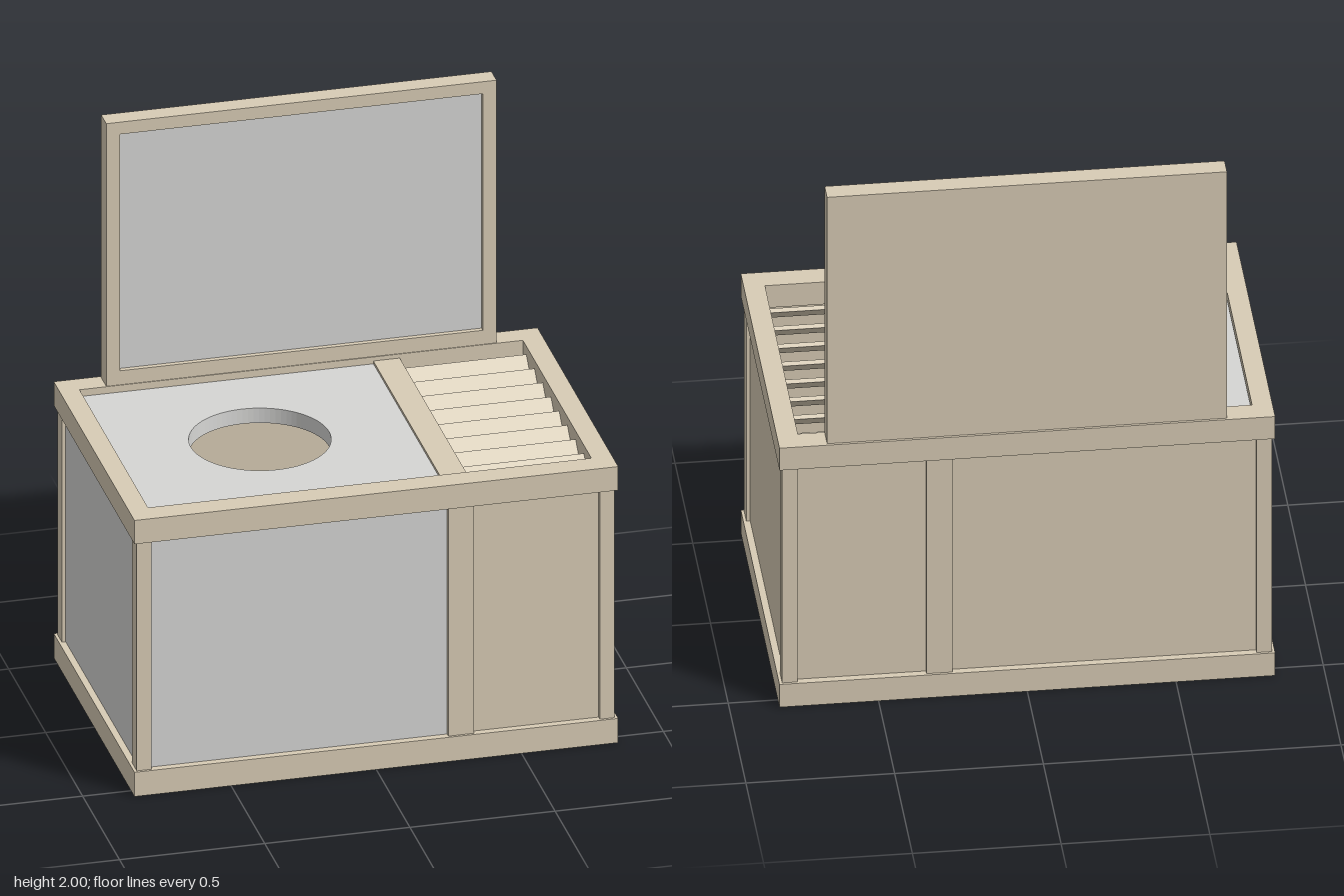
import * as THREE from 'three';

const wood = new THREE.MeshStandardMaterial({ color: 0xd8ccb5 });
wood.name = 'pale wood';
const grey = new THREE.MeshStandardMaterial({ color: 0xd6d6d4 });
grey.name = 'light grey panel';

// Box given by its minimum and maximum on each axis
function box(name, [x0, x1], [y0, y1], [z0, z1], material = wood) {
  const mesh = new THREE.Mesh(new THREE.BoxGeometry(x1 - x0, y1 - y0, z1 - z0), material);
  mesh.position.set((x0 + x1) / 2, (y0 + y1) / 2, (z0 + z1) / 2);
  mesh.name = name;
  return mesh;
}

function rectangle(PathType, x0, x1, y0, y1) {
  return new PathType([[x0, y0], [x1, y0], [x1, y1], [x0, y1]].map(p => new THREE.Vector2(...p)));
}

// Horizontal slab with a hole, resting at height y
function slab(name, shape, hole, y, height, material) {
  shape.holes.push(hole);
  const geometry = new THREE.ExtrudeGeometry(shape, { depth: height, bevelEnabled: false, curveSegments: 40 });
  geometry.rotateX(-Math.PI / 2);
  const mesh = new THREE.Mesh(geometry, material);
  mesh.position.y = y;
  mesh.name = name;
  return mesh;
}

export function createModel() {
  const model = new THREE.Group();
  model.name = 'cabinet';
  const low = 0.09, high = 0.937, sides = [low, high];

  // Base and top frames
  for (const [name, y, h] of [['baseFrame', 0, low], ['topFrame', high, 0.088]]) {
    model.add(slab(name, rectangle(THREE.Shape, -0.833, 0.833, -0.546, 0.546),
      rectangle(THREE.Path, -0.765, 0.762, -0.462, 0.465), y, h, wood));
  }
  model.add(box('floor', [-0.765, 0.762], [0.03, 0.07], [-0.465, 0.462]));

  // Corner posts and the posts between the two compartments
  for (const s of [-1, 1]) {
    const z = s > 0 ? [0.475, 0.537] : [-0.537, -0.475];
    model.add(box('cornerPost', [-0.823, -0.772], sides, z));
    model.add(box('cornerPost', [0.772, 0.823], sides, z));
    model.add(box('middlePost', [0.25, 0.338], sides, z));
  }

  // Wall panels, set back between the posts
  const front = [0.485, 0.52], back = [-0.52, -0.485];
  model.add(box('frontWindow', [-0.772, 0.25], sides, front, grey));
  model.add(box('frontPanel', [0.338, 0.772], sides, front));
  model.add(box('backPanelWide', [-0.772, 0.25], sides, back));
  model.add(box('backPanelNarrow', [0.338, 0.772], sides, back));
  model.add(box('leftPanel', [0.78, 0.81], sides, [-0.475, 0.475]));
  model.add(box('rightWindow', [-0.81, -0.78], sides, [-0.475, 0.475], grey));

  // Counter with a round opening, and the bar beside it
  const opening = new THREE.Path();
  opening.absarc(-0.262, 0, 0.238, 0, Math.PI * 2, true);
  model.add(slab('counter', rectangle(THREE.Shape, -0.764, 0.247, -0.461, 0.464), opening, 0.945, 0.055, grey));
  model.add(box('counterBar', [0.247, 0.338], [high, 1.01], [-0.465, 0.462]));

  // Sloping vent slats
  const slats = new THREE.Group();
  slats.name = 'ventSlats';
  for (let i = 0; i < 8; i++) {
    const slat = new THREE.Mesh(new THREE.BoxGeometry(0.422, 0.015, 0.074), wood);
    slat.name = 'slat';
    slat.position.set(0.55, 0.965, -0.394 + i * 0.1112);
    slat.rotation.x = Math.PI / 4;
    slats.add(slat);
  }
  model.add(slats);

  // Upright lid: solid back, raised rim and inset panel
  const lid = new THREE.Group();
  lid.name = 'lid';
  const zBack = [-0.537, -0.495], zRim = [-0.495, -0.468];
  lid.add(box('lidBack', [-0.672, 0.672], [1.02, 2], zBack));
  lid.add(box('lidRimTop', [-0.672, 0.672], [1.955, 2], zRim));
  lid.add(box('lidRimBottom', [-0.672, 0.672], [1.02, 1.077], zRim));
  lid.add(box('lidRimRight', [-0.672, -0.625], [1.077, 1.955], zRim));
  lid.add(box('lidRimLeft', [0.625, 0.672], [1.077, 1.955], zRim));
  lid.add(box('lidInset', [-0.625, 0.625], [1.077, 1.955], [-0.495, -0.486], grey));
  model.add(lid);

  return model;
}
